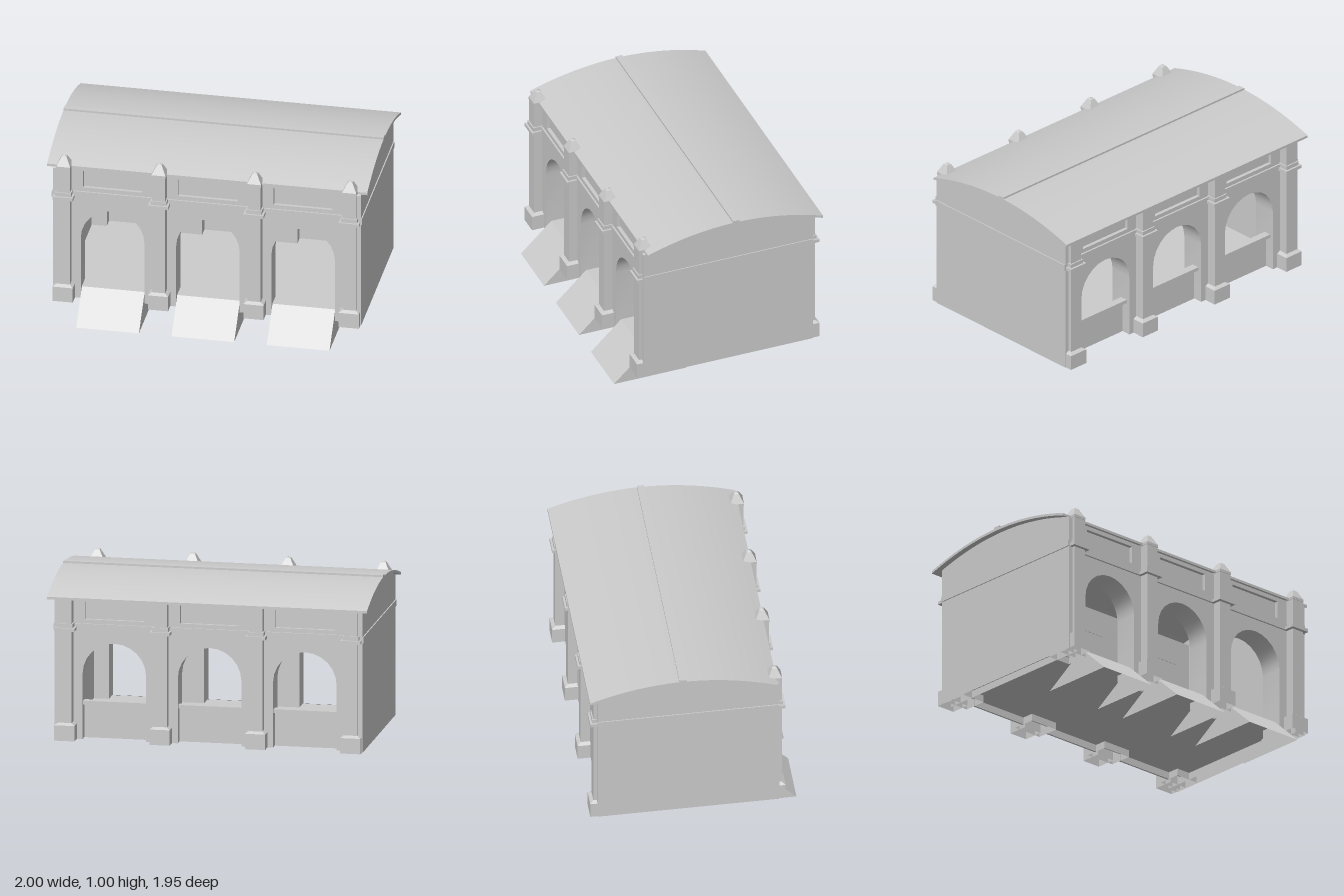
import * as THREE from 'three';
import { toCreasedNormals } from 'three/addons/utils/BufferGeometryUtils.js';

const grey = new THREE.MeshStandardMaterial({ color: 0xcccccc, side: THREE.DoubleSide });
const U0 = -0.009;                                   // middle of the facade
const BAYS = [-0.527, 0, 0.527].map(u => u + U0);
const PIERS = [-0.791, -0.264, 0.264, 0.791].map(u => u + U0);
const FRONT = 0.485, BACK = -0.445, WALL = 0.13, END = 0.852;
const END_FRONT = 0.518, END_BACK = -0.477;          // end walls reach past the long walls

// Height of the vaulted roof across the depth
const roofY = v => 0.99 - 0.085 * ((v + 0.008) / 0.513) ** 2;

// Leaves out the triangles whose normal and height pass the test
function without(geo, test) {
  const p = geo.attributes.position, n = geo.attributes.normal, kept = [];
  for (let i = 0; i < p.count; i += 3) {
    const top = Math.max(p.getY(i), p.getY(i + 1), p.getY(i + 2));
    if (!test(new THREE.Vector3().fromBufferAttribute(n, i), top)) kept.push(i, i + 1, i + 2);
  }
  geo.clearGroups();
  geo.setIndex(kept);
  return geo.toNonIndexed();
}
// Hollow underside of walls and plinths
const openBottom = geo => without(geo, (n, top) => n.y < -0.9 && top < 0.115);

export function createModel() {
  const model = new THREE.Group();
  const add = (name, geo, parent = model) => {
    const mesh = new THREE.Mesh(geo, grey);
    mesh.name = name;
    parent.add(mesh);
  };
  const group = name => {
    const g = new THREE.Group();
    g.name = name;
    model.add(g);
    return g;
  };
  // Box given by its limits along the facade, height and depth
  const box = (u0, u1, y0, y1, v0, v1) =>
    new THREE.BoxGeometry(u1 - u0, y1 - y0, v1 - v0).toNonIndexed()
      .translate((u0 + u1) / 2, (y0 + y1) / 2, (v0 + v1) / 2);
  // Square frustum with half-widths at bottom and top
  const frustum = (u, v, y0, y1, h0, h1) => {
    const geo = new THREE.CylinderGeometry(h1 * Math.SQRT2, h0 * Math.SQRT2, y1 - y0, 4, 1, true)
      .toNonIndexed().rotateY(Math.PI / 4).translate(u, (y0 + y1) / 2, v);
    geo.computeVertexNormals();
    return geo;
  };
  // Depth/height section swept along the facade from u0 to u1
  const sweep = (points, u0, u1) =>
    new THREE.ExtrudeGeometry(new THREE.Shape(points.map(p => new THREE.Vector2(...p))),
      { depth: u1 - u0, bevelEnabled: false }).rotateY(-Math.PI / 2).translate(u1, 0, 0);

  // Long walls with arches open to the ground and panels sunk in the outer face
  const archWall = (name, v0, top, panelV0, panelV1) => {
    const s = new THREE.Shape();
    const l = U0 - END + 0.01, r = U0 + END - 0.01;
    s.moveTo(l, 0.11);
    for (const u of BAYS) {
      s.lineTo(u - 0.176, 0.11);
      s.lineTo(u - 0.176, 0.469);
      s.absarc(u, 0.469, 0.176, Math.PI, 0, true);
      s.lineTo(u + 0.176, 0.11);
      const panel = new THREE.Path();
      panel.moveTo(u - 0.163, 0.773); panel.lineTo(u - 0.163, 0.872);
      panel.lineTo(u + 0.163, 0.872); panel.lineTo(u + 0.163, 0.773);
      s.holes.push(panel);
    }
    s.lineTo(r, 0.11); s.lineTo(r, top); s.lineTo(l, top);
    const geo = new THREE.ExtrudeGeometry(s, { depth: WALL, bevelEnabled: false, curveSegments: 6 });
    add(name, toCreasedNormals(openBottom(geo.translate(0, 0, v0)), 0.6));
    for (const u of BAYS)
      add('panelBack', box(u - 0.17, u + 0.17, 0.765, 0.88, panelV0, panelV1));
  };
  archWall('frontWall', FRONT - WALL, 0.895, FRONT - WALL - 0.002, FRONT - 0.02);
  archWall('backWall', BACK, 0.91, BACK + 0.02, BACK + WALL + 0.002);

  // End walls rising to the roof, just past the plinths, with a shallow band
  const gable = [[END_BACK, 0.11], [END_FRONT, 0.11]];
  for (let i = 0; i <= 16; i++) {
    const v = END_FRONT + (END_BACK - END_FRONT) * i / 16;
    gable.push([v, roofY(v) - 0.012]);
  }
  for (const s of [-1, 1]) {
    const outer = U0 + s * END, inner = U0 + s * (END - 0.065), edge = U0 + s * (END + 0.006);
    add('endWall', openBottom(sweep(gable, Math.min(outer, inner), Math.max(outer, inner))));
    add('endBand', box(Math.min(inner, edge), Math.max(inner, edge), 0.715, 0.75, END_BACK, END_FRONT));
  }
  add('frontBand', box(U0 - END, U0 + END, 0.715, 0.75, FRONT - 0.03, FRONT + 0.01));
  add('backBand', box(U0 - END, U0 + END, 0.715, 0.75, BACK - 0.01, BACK + 0.03));

  // Piers with plinth and capital; the front row carries pointed finials
  for (const [v, front] of [[0.498, true], [-0.46, false]]) {
    for (const u of PIERS) {
      const pier = group(front ? 'frontPier' : 'backPier');
      const block = (name, h, y0, y1) =>
        add(name, openBottom(box(u - h, u + h, y0, y1, v - h, v + h)), pier);
      block('shaft', 0.037, 0.19, front ? 0.9 : 0.895);
      block('plinth', 0.056, 0.11, 0.195);
      add('plinthSlope', frustum(u, v, 0.195, 0.207, 0.056, 0.037), pier);
      block('capital', 0.056, 0.715, 0.733);
      block('upperCapital', 0.044, 0.733, 0.755);
      if (front) {
        block('finialBase', 0.039, 0.892, 0.908);
        add('finial', frustum(u, v, 0.908, 0.958, 0.039, 0.014), pier);
        add('finialTip', frustum(u, v, 0.958, 0.966, 0.014, 0.001), pier);
      }
    }
  }

  // Raised floor, ramps up to it, parapets and sills in the back arches
  add('floor', box(U0 - END + 0.06, U0 + END - 0.06, 0.15, 0.164, -0.385, 0.36));
  for (const u of BAYS) {
    add('threshold', box(u - 0.176, u + 0.176, 0.15, 0.164, 0.36, 0.455));
    // sloping sheet with triangular cheeks, open behind and below
    const ramp = sweep([[0.205, 0], [0.632, 0], [0.455, 0.165]], u - 0.175, u + 0.172);
    add('ramp', without(ramp, n => n.z < -0.3 || n.y < -0.9));
    add('parapet', box(u - 0.177, u + 0.177, 0.11, 0.3, -0.392, -0.382));
    add('sill', box(u - 0.177, u + 0.177, 0.298, 0.318, -0.425, -0.382));
  }

  // Thin vaulted roof with a ridge strip
  const top = [], under = [];
  for (let i = 0; i <= 24; i++) {
    const v = -0.522 + 1.027 * i / 24;
    top.unshift([v, roofY(v)]);
    under.push([v, roofY(v) - 0.014]);
  }
  add('roof', toCreasedNormals(sweep([...under, ...top], U0 - 0.885, U0 + 0.885), 0.5));
  add('ridge', box(U0 - 0.885, U0 + 0.885, 0.985, 1.0, -0.033, 0.005));

  // The plan is turned on its site and very slightly skewed
  const plan = new THREE.Matrix4().makeBasis(
    new THREE.Vector3(0.777, 0, 0.629),
    new THREE.Vector3(0, 1, 0),
    new THREE.Vector3(-0.604, 0, 0.798));
  model.traverse(o => { if (o.isMesh) o.geometry.applyMatrix4(plan); });
  return model;
}
